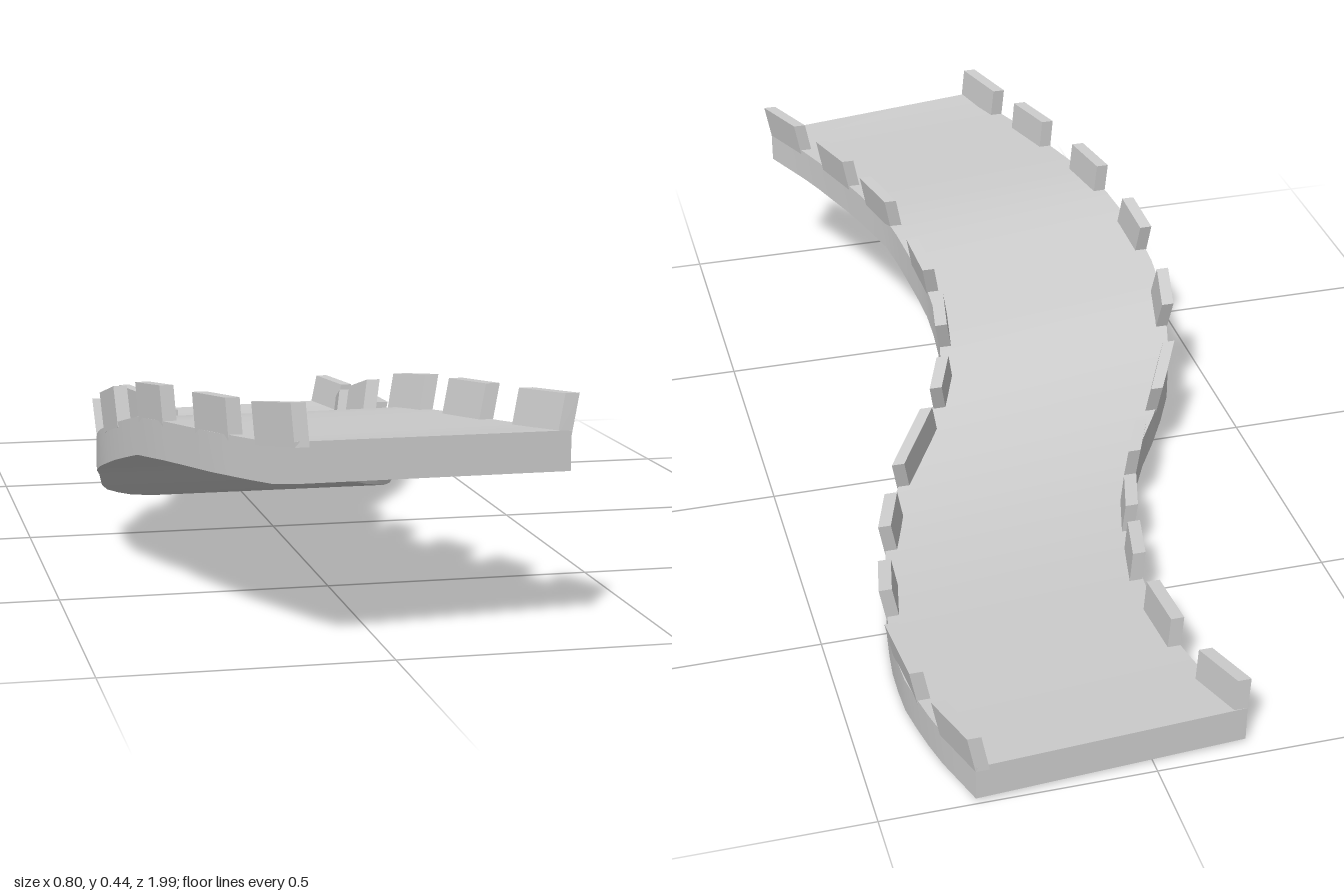
import * as THREE from 'three';
import { toCreasedNormals } from 'three/addons/utils/BufferGeometryUtils.js';

const material = new THREE.MeshStandardMaterial({ color: 0xcccccc });
const THICK = 0.07, MERLON = 0.063, WALL = 0.025;

// Plan outline of each edge [z, x] and height of the underside [z, y]
const LEFT_EDGE = [[-1, 0.325], [-0.87, 0.365], [-0.74, 0.39], [-0.64, 0.392], [-0.53, 0.38], [-0.34, 0.34],
  [-0.17, 0.275], [-0.02, 0.17], [0.08, 0.125], [0.2, 0.105], [0.3, 0.107], [0.48, 0.14], [0.66, 0.2], [0.8, 0.255], [0.93, 0.32]];
const RIGHT_EDGE = [[-0.965, -0.175], [-0.85, -0.135], [-0.71, -0.11], [-0.55, -0.112], [-0.34, -0.155], [-0.18, -0.22],
  [-0.08, -0.29], [0, -0.34], [0.07, -0.363], [0.18, -0.387], [0.3, -0.393], [0.42, -0.375], [0.58, -0.335], [0.78, -0.265], [0.99, -0.17]];
const HEIGHT = [[-1, 0.008], [-0.85, 0.002], [-0.6, 0], [-0.45, 0.002], [-0.3, 0.015], [-0.2, 0.032], [-0.1, 0.057],
  [0, 0.09], [0.07, 0.118], [0.12, 0.15], [0.2, 0.178], [0.3, 0.205], [0.38, 0.23], [0.5, 0.263], [0.6, 0.273], [0.93, 0.292], [1, 0.305]];

// Piecewise linear lookup
function lookup(table, z) {
  let i = 1;
  while (i < table.length - 1 && table[i][0] < z) i++;
  const [z0, v0] = table[i - 1], [z1, v1] = table[i];
  return v0 + (v1 - v0) * (z - z0) / (z1 - z0);
}

// Solid skin over four-cornered sections running from back to front
function loft(rings) {
  const positions = [];
  const quad = (a, b, c, d) => positions.push(...a, ...b, ...c, ...a, ...c, ...d);
  for (let i = 0; i < rings.length - 1; i++) {
    for (let k = 0; k < 4; k++) {
      const n = (k + 1) % 4;
      quad(rings[i][k], rings[i][n], rings[i + 1][n], rings[i + 1][k]);
    }
  }
  quad(...rings[rings.length - 1]);
  quad(...[...rings[0]].reverse());
  const geometry = new THREE.BufferGeometry();
  geometry.setAttribute('position', new THREE.Float32BufferAttribute(positions, 3));
  return toCreasedNormals(geometry, 0.3);
}

function addMesh(parent, geometry, name) {
  const mesh = new THREE.Mesh(geometry, material);
  mesh.name = name;
  parent.add(mesh);
}

// Upright tooth that follows the edge and leans with the slope
function merlon(edge, side, z0, z1) {
  const lean = side > 0 ? 0.014 : 0.005;
  const slope = (lookup(HEIGHT, z1) - lookup(HEIGHT, z0)) / (z1 - z0);
  const rings = [z0, z1].map((z) => {
    const outer = lookup(edge, z), inner = outer - side * WALL;
    const y = lookup(HEIGHT, z) + THICK, top = y + MERLON, zTop = z - slope * MERLON;
    const [a, b] = side > 0 ? [inner, outer] : [outer, inner];
    const shift = side * lean;
    return [[a, y - 0.01, z], [b, y - 0.01, z], [b + shift, top, zTop], [a + shift, top, zTop]];
  });
  return loft(rings);
}

export function createModel() {
  const group = new THREE.Group();
  group.name = 'curvedRampart';

  // Winding, sloping walkway slab
  const rings = [];
  const steps = 36;
  for (let i = 0; i <= steps; i++) {
    const t = i / steps;
    const zr = THREE.MathUtils.lerp(-0.965, 0.99, t), zl = THREE.MathUtils.lerp(-0.995, 0.93, t);
    const xr = lookup(RIGHT_EDGE, zr), xl = lookup(LEFT_EDGE, zl);
    const yr = lookup(HEIGHT, zr), yl = lookup(HEIGHT, zl);
    rings.push([[xr, yr, zr], [xl, yl, zl], [xl, yl + THICK, zl], [xr, yr + THICK, zr]]);
  }
  addMesh(group, loft(rings), 'walkway');

  // Battlements along both edges, as [back z, front z]
  const leftSpans = [[-0.995, -0.88], [-0.79, -0.64], [-0.54, -0.45], [-0.35, -0.26], [-0.18, -0.05], [0, 0.07],
    [0.13, 0.21], [0.28, 0.37], [0.48, 0.58], [0.65, 0.75], [0.83, 0.93]];
  const rightSpans = [[-0.965, -0.86], [-0.76, -0.64], [-0.55, -0.45], [-0.4, -0.31], [-0.24, -0.16], [-0.08, 0.03],
    [0.11, 0.2], [0.32, 0.41], [0.51, 0.61], [0.72, 0.82], [0.89, 0.99]];
  const battlements = [['leftBattlements', LEFT_EDGE, 1, leftSpans], ['rightBattlements', RIGHT_EDGE, -1, rightSpans]];
  for (const [name, edge, side, spans] of battlements) {
    const row = new THREE.Group();
    row.name = name;
    for (const [z0, z1] of spans) addMesh(row, merlon(edge, side, z0, z1), 'merlon');
    group.add(row);
  }
  return group;
}
